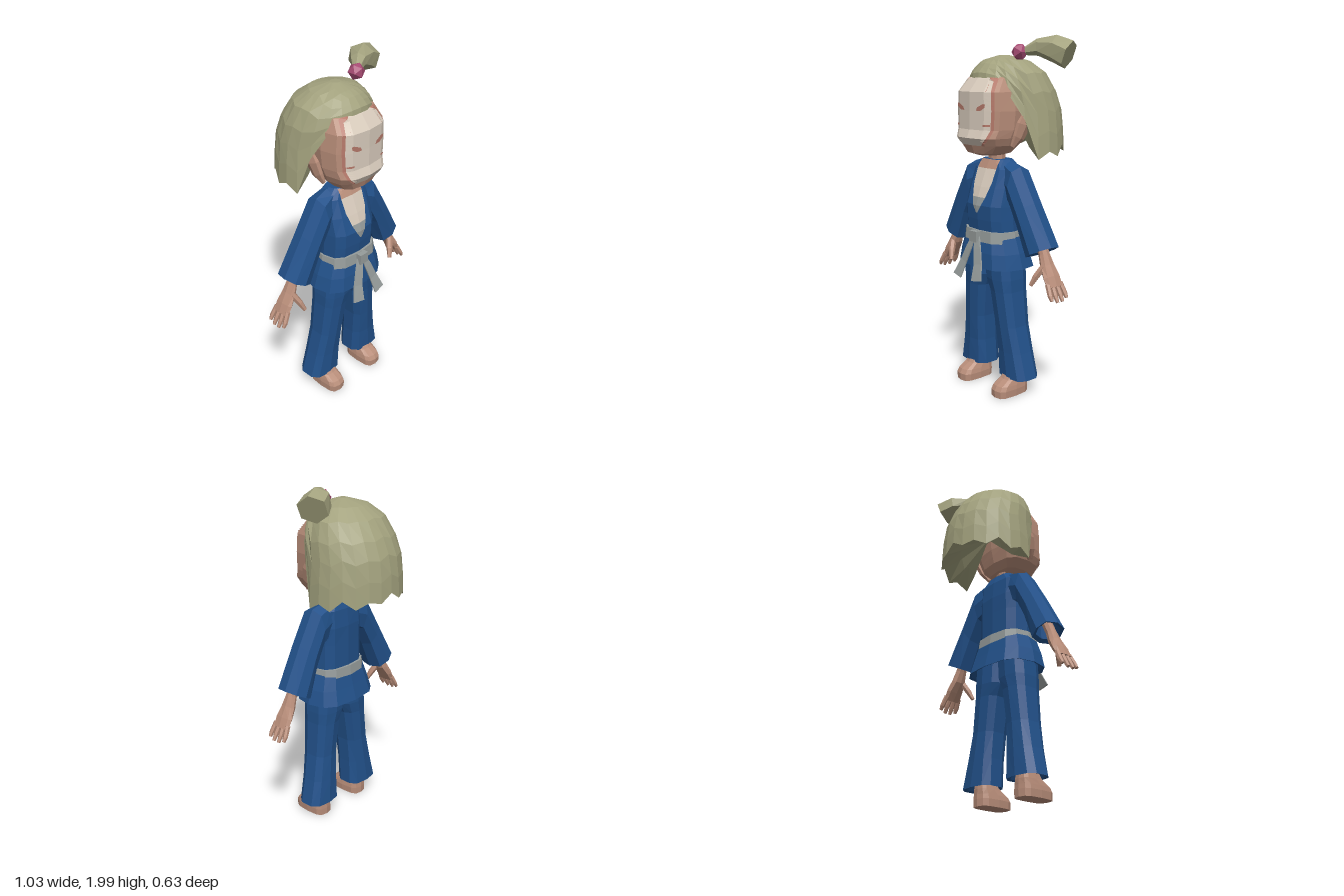
import * as THREE from 'three';

const mat = (name, color) => {
  const m = new THREE.MeshStandardMaterial({ color });
  m.name = name;
  return m;
};
const V = (x, y, z) => new THREE.Vector3(x, y, z);
const lerp = THREE.MathUtils.lerp;

// Faceted mesh from a list of triangle corners
function facets(tris) {
  const g = new THREE.BufferGeometry().setFromPoints(tris);
  g.computeVertexNormals();
  return g;
}

// Closed faceted skin over rings of equal length, always turned outward
function loft(rings) {
  const tris = [], n = rings[0].length;
  const mid = (r) => r.reduce((s, p) => s.add(p), V(0, 0, 0)).divideScalar(n);
  for (let i = 0; i + 1 < rings.length; i++) for (let j = 0; j < n; j++) {
    const k = (j + 1) % n, a = rings[i], b = rings[i + 1];
    tris.push(a[j], a[k], b[k], a[j], b[k], b[j]);
  }
  const first = rings[0], last = rings[rings.length - 1], c0 = mid(first), c1 = mid(last);
  for (let j = 0; j < n; j++) {
    const k = (j + 1) % n;
    tris.push(c0, first[k], first[j], c1, last[j], last[k]);
  }
  let volume = 0;
  for (let i = 0; i < tris.length; i += 3) volume += tris[i].dot(V(0, 0, 0).crossVectors(tris[i + 1], tris[i + 2]));
  if (volume < 0) for (let i = 0; i < tris.length; i += 3) [tris[i + 1], tris[i + 2]] = [tris[i + 2], tris[i + 1]];
  return facets(tris);
}

// Rounded-square outline in unit size
const unit = (n, p) => Array.from({ length: n }, (_, i) => {
  const t = (i / n) * Math.PI * 2, f = (v) => Math.sign(v) * Math.abs(v) ** p;
  return [f(Math.sin(t)), f(Math.cos(t))];
});

// Level rings from rows of [y, x0, x1, zBack, zFront]
const P = 0.7;
const levels = (rows, n = 12, p = P) => rows.map(([y, x0, x1, zb, zf]) =>
  unit(n, p).map(([u, v]) => V((x0 + x1) / 2 + u * (x1 - x0) / 2, y, (zb + zf) / 2 + v * (zf - zb) / 2)));

// Rings across a path of [x, y, z, radius across z, radius in the other direction]
function sweep(path, n = 6, p = 1) {
  const c = path.map(([x, y, z]) => V(x, y, z));
  return path.map(([, , , a, b], i) => {
    const t = c[Math.min(i + 1, c.length - 1)].clone().sub(c[Math.max(i - 1, 0)]).normalize();
    const v = t.clone().cross(V(0, 0, 1)).normalize(), u = v.clone().cross(t);
    return unit(n, p).map(([s, q]) => c[i].clone().addScaledVector(u, s * a).addScaledVector(v, q * b));
  });
}

// Front depth of a 12-sided level body at x, y
function frontZ(rows, x, y) {
  let i = 0;
  while (i < rows.length - 2 && rows[i + 1][0] < y) i++;
  const t = (y - rows[i][0]) / (rows[i + 1][0] - rows[i][0]);
  const [, x0, x1, zb, zf] = rows[i].map((v, k) => lerp(v, rows[i + 1][k], t));
  const f = Math.min(Math.abs(x) / ((x1 - x0) / 2), 1), s = unit(12, P);
  let k = 0;
  while (k < 2 && s[k + 1][0] < f) k++;
  const v = lerp(s[k][1], s[k + 1][1], (f - s[k][0]) / (s[k + 1][0] - s[k][0]));
  return (zb + zf) / 2 + v * (zf - zb) / 2;
}

// Painted patch on the front of a body; outline rows [y, xLeft, xRight] run downward
function patch(body, outline, lift) {
  const rows = [], tris = [], cols = 8;
  for (let i = 0; i + 1 < outline.length; i++) for (let s = 0; s < 4; s++)
    rows.push(outline[i].map((v, k) => lerp(v, outline[i + 1][k], s / 4)));
  rows.push(outline[outline.length - 1]);
  const grid = rows.map(([y, a, b]) => Array.from({ length: cols + 1 }, (_, j) => {
    const x = lerp(a, b, j / cols);
    return V(x, y, frontZ(body, x, y) + lift);
  }));
  for (let i = 0; i + 1 < grid.length; i++) for (let j = 0; j < cols; j++) {
    const a = grid[i], b = grid[i + 1];
    tris.push(a[j], b[j], b[j + 1], a[j], b[j + 1], a[j + 1]);
  }
  return facets(tris);
}

export function createModel() {
  const root = new THREE.Group();
  root.name = 'child';
  const blue = mat('blue cloth', 0x22518a), hairMat = mat('straw hair', 0xa3a27e), skin = mat('skin', 0xb98e7a);
  const cream = mat('pale cream', 0xd9ccbd), grey = mat('grey belt', 0x969c9b), pink = mat('pink bead', 0xa84c74);
  const rust = mat('rust marking', 0xb5796a);
  const add = (name, geo, m) => {
    const mesh = new THREE.Mesh(geo, m);
    mesh.name = name;
    root.add(mesh);
    return mesh;
  };
  const pair = (name, rings, m) => {
    add('left' + name, loft(rings), m);
    add('right' + name, loft(rings.map((r) => r.map((p) => V(-p.x, p.y, p.z)))), m);
  };
  const sym = (rows) => rows.map(([y, w, zb, zf]) => [y, -w, w, zb, zf]);

  // Head, neck and ears
  const head = sym([[1.355, 0.06, 0.06, 0.2], [1.37, 0.115, 0.03, 0.245], [1.415, 0.16, 0, 0.262], [1.455, 0.178, -0.01, 0.286],
    [1.5, 0.19, -0.02, 0.268], [1.6, 0.197, -0.03, 0.266], [1.7, 0.188, -0.03, 0.266], [1.77, 0.165, -0.03, 0.208], [1.82, 0.11, -0.03, 0.13]]);
  add('head', loft(levels(head)), skin);
  add('neck', loft(levels(sym([[1.26, 0.06, 0.03, 0.13], [1.33, 0.045, 0.045, 0.125], [1.4, 0.045, 0.04, 0.125]]), 8)), skin);
  pair('Ear', sweep([[0.18, 1.41, 0.125, 0.015, 0.012], [0.2, 1.46, 0.1, 0.04, 0.02], [0.215, 1.53, 0.075, 0.05, 0.022],
    [0.222, 1.58, 0.07, 0.025, 0.012]]), skin);

  // Painted face
  const face = [[1.775, 0.08], [1.755, 0.12], [1.7, 0.14], [1.6, 0.145], [1.5, 0.14], [1.455, 0.125], [1.415, 0.08]];
  add('faceBorder', patch(head, face.map(([y, w]) => [y + (y > 1.7 ? 0.012 : 0), -w - 0.012, w + 0.012]), 0.004), rust);
  add('facePaint', patch(head, face.map(([y, w]) => [y, -w, w]), 0.008), cream);
  const marks = { Eye: [[1.638, 0.1, 0.118], [1.62, 0.06, 0.115], [1.602, 0.05, 0.085]], CheekMark: [[1.53, 0.1, 0.14], [1.52, 0.1, 0.14]] };
  for (const [name, rows] of Object.entries(marks)) {
    add('left' + name, patch(head, rows, 0.011), rust);
    add('right' + name, patch(head, rows.map(([y, a, b]) => [y, -b, -a]), 0.011), rust);
  }

  // Bobbed hair: columns from crown to a ragged hem, closed underneath
  const shape = [[1.36, 1, -0.05], [1.5, 0.98, -0.05], [1.6, 0.94, -0.05], [1.7, 0.89, -0.025], [1.8, 0.75, 0], [1.865, 0.47, 0.02], [1.893, 0.1, 0.03]];
  const hem = [1.775, 1.775, 1.755, 1.68, 1.55, 1.34, 1.38, 1.35, 1.41, 1.365, 1.4, 1.385, 1.43];
  hem[1] = 1.77;
  const hairRow = (t, squeeze = 1, rise = 0) => Array.from({ length: 24 }, (_, i) => {
    const a = (i / 24) * Math.PI * 2, y = lerp(1.893, hem[i <= 12 ? i : 24 - i], t);
    let k = 0;
    while (k < 5 && shape[k + 1][0] < y) k++;
    const f = (y - shape[k][0]) / (shape[k + 1][0] - shape[k][0]);
    const r = lerp(shape[k][1], shape[k + 1][1], f) * squeeze, cz = lerp(shape[k][2], shape[k + 1][2], f);
    const c = Math.cos(a);
    return V(Math.sin(a) * r * 0.285, y + rise, cz + c * r * (c > 0 ? 0.28 : 0.265));
  });
  const hairRows = [0, 0.06, 0.18, 0.37, 0.56, 0.78, 1].map((t) => hairRow(t));
  add('hair', loft([...hairRows, hairRow(1, 0.6, 0.06)]), hairMat);

  // Side ponytail and bead
  add('ponytail', loft(sweep([[0.16, 1.91, 0.03, 0.02, 0.02], [0.22, 1.932, -0.015, 0.045, 0.045], [0.295, 1.925, -0.065, 0.075, 0.072],
    [0.37, 1.893, -0.1, 0.085, 0.078]])), hairMat);
  add('hairBead', new THREE.IcosahedronGeometry(0.047, 0).translate(0.143, 1.908, 0.043), pink);

  // Jacket body with open neckline
  const torso = sym([[0.9, 0.165, -0.01, 0.215], [1, 0.165, -0.01, 0.225], [1.08, 0.165, -0.01, 0.228], [1.18, 0.165, -0.01, 0.195],
    [1.28, 0.16, 0, 0.155], [1.33, 0.095, 0.02, 0.13]]);
  add('jacketBody', loft(levels(torso)), blue);
  add('upperChest', patch(torso, [[1.329, -0.075, 0.075], [1.28, -0.08, 0.08]], 0.007), skin);
  add('shirt', patch(torso, [[1.28, -0.08, 0.08], [1.2, -0.075, 0.075], [1.125, -0.053, 0.053]], 0.007), cream);
  add('shirtLower', patch(torso, [[1.125, -0.053, 0.053], [1.08, -0.033, 0.033], [1.04, -0.006, 0.006]], 0.007), grey);
  add('jacketSkirt', loft(levels(sym([[0.8, 0.17, 0, 0.2], [0.74, 0.215, -0.055, 0.24], [0.735, 0.23, -0.068, 0.255],
    [0.82, 0.21, -0.045, 0.245], [0.93, 0.17, -0.018, 0.222]]))), blue);

  // Wide sleeves from [outer x, outer y, inner x, inner y, zBack, zFront]
  pair('Sleeve', [[0.11, 1.325, 0.1, 1.12, 0.01, 0.14], [0.195, 1.3, 0.165, 1.09, 0, 0.165], [0.305, 1.115, 0.225, 0.98, -0.005, 0.165],
    [0.433, 0.892, 0.29, 0.82, -0.02, 0.162], [0.413, 0.895, 0.308, 0.84, 0, 0.142], [0.36, 0.95, 0.3, 0.92, 0.03, 0.12]]
    .map(([ox, oy, ix, iy, zb, zf]) => unit(8, 0.75).map(([u, v]) =>
      V(lerp(ix, ox, (u + 1) / 2), lerp(iy, oy, (u + 1) / 2), lerp(zb, zf, (v + 1) / 2)))), blue);

  // Forearms, palms, fingers and thumbs
  pair('Hand', sweep([[0.335, 0.95, 0.075, 0.03, 0.026], [0.38, 0.85, 0.075, 0.03, 0.026], [0.405, 0.79, 0.075, 0.042, 0.028],
    [0.44, 0.735, 0.075, 0.056, 0.024], [0.468, 0.685, 0.075, 0.055, 0.018]], 8, 0.8), skin);
  [0.031, 0.06, 0.09, 0.119].forEach((z, i) => {
    const drop = i === 1 || i === 2 ? 0.012 : 0, fan = (z - 0.075) * 0.2;
    pair('Finger' + (i + 1), sweep([[0.458, 0.705, z, 0.014, 0.016], [0.488, 0.65, z + fan, 0.014, 0.014],
      [0.502 + drop / 2, 0.626 - drop, z + fan, 0.009, 0.01]]), skin);
  });
  pair('Thumb', sweep([[0.405, 0.79, 0.1, 0.02, 0.02], [0.378, 0.735, 0.13, 0.019, 0.018], [0.358, 0.685, 0.15, 0.011, 0.012]]), skin);

  // Belt with knot and two hanging tails
  add('belt', loft(levels(sym([[0.878, 0.182, -0.03, 0.238], [0.94, 0.174, -0.024, 0.232]]))), grey);
  add('beltKnot', new THREE.BoxGeometry(0.06, 0.06, 0.035).translate(0, 0.908, 0.245), grey);
  pair('BeltTail', [[0.9, 0, 0.03, 0.245], [0.84, 0.012, 0.06, 0.262], [0.76, 0.035, 0.09, 0.28], [0.675, 0.048, 0.122, 0.31]]
    .map(([y, a, b, z]) => [V(a, y - 0.004, z + 0.004), V(b, y + 0.008, z - 0.004), V(b, y + 0.008, z - 0.012), V(a, y - 0.004, z - 0.004)]), grey);

  // Flared trousers and bare feet
  pair('Trouser', levels([[0.15, 0.1, 0.24, 0.03, 0.13], [0.105, 0.078, 0.268, 0, 0.148], [0.1, 0.062, 0.287, -0.014, 0.163],
    [0.25, 0.065, 0.248, -0.005, 0.168], [0.4, 0.06, 0.216, 0.003, 0.18], [0.6, 0.032, 0.195, 0, 0.195],
    [0.67, 0, 0.194, -0.005, 0.203], [0.85, -0.01, 0.178, -0.005, 0.21]], 10), blue);
  pair('Foot', levels([[0, 0.102, 0.22, 0.022, 0.238], [0.04, 0.1, 0.222, 0.022, 0.24], [0.065, 0.104, 0.219, 0.024, 0.225],
    [0.095, 0.11, 0.214, 0.025, 0.175], [0.17, 0.125, 0.2, 0.035, 0.12]], 12, 0.6), skin);

  return root;
}
